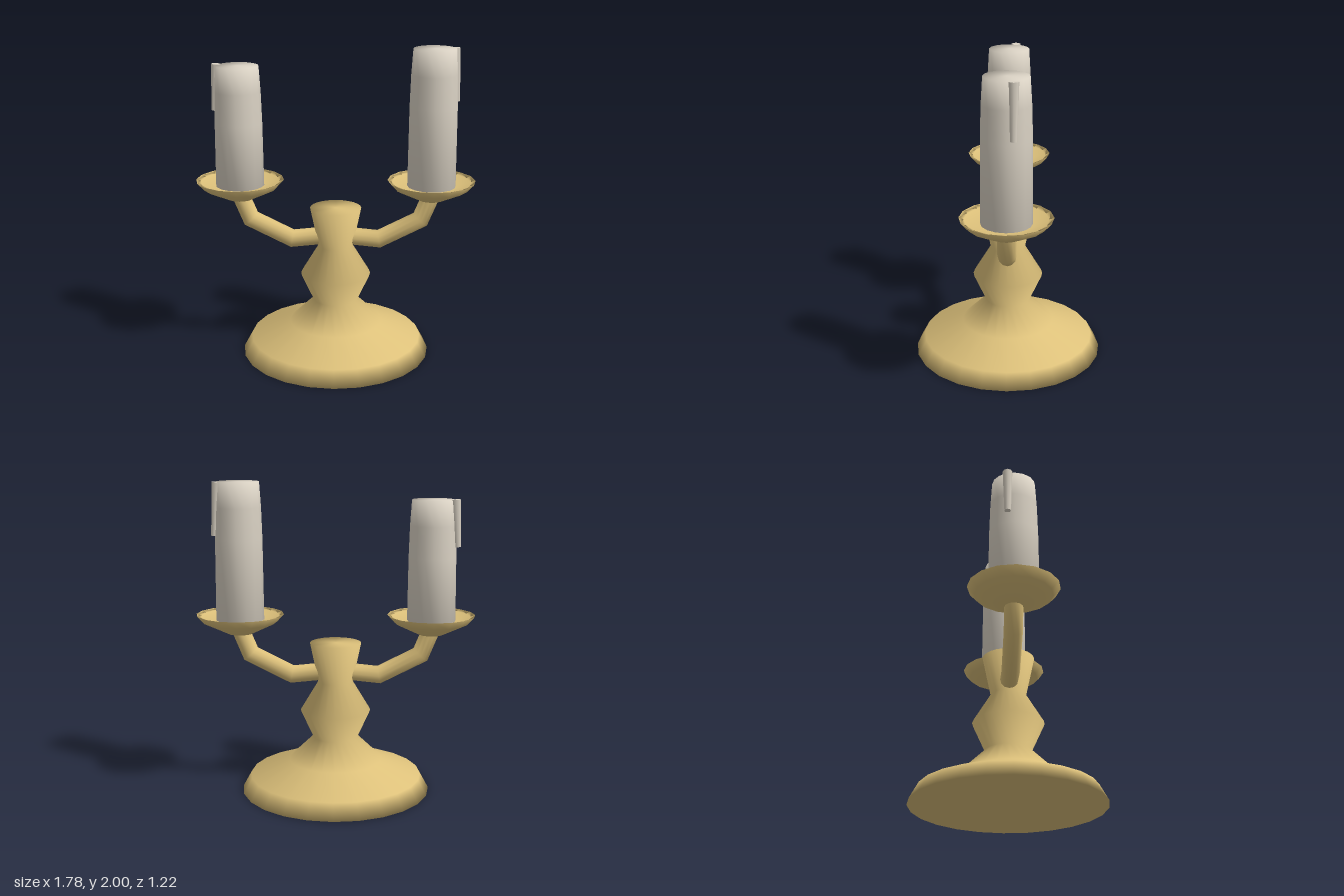
import * as THREE from 'three';

const brass = new THREE.MeshStandardMaterial({ color: 0xdcc07a });
brass.name = 'brass';
const wax = new THREE.MeshStandardMaterial({ color: 0xd9d1c3 });
wax.name = 'wax';

function part(name, geometry, material) {
  const mesh = new THREE.Mesh(geometry, material);
  mesh.name = name;
  return mesh;
}

// Turned solid from [radius, height] pairs, listed bottom to top
function turned(name, profile, sides, material) {
  const points = profile.map(([r, y]) => new THREE.Vector2(r, y));
  return part(name, new THREE.LatheGeometry(points, sides), material);
}

// Round rod following a bent path in the xy plane, with mitred joints
function bentRod(path, radius, sides) {
  const pts = path.map(([x, y]) => new THREE.Vector2(x, y));
  const positions = [];
  const indices = [];
  pts.forEach((p, i) => {
    const before = p.clone().sub(pts[Math.max(i - 1, 0)]).normalize();
    const after = pts[Math.min(i + 1, pts.length - 1)].clone().sub(p).normalize();
    const t = before.clone().add(after).normalize();
    const reach = radius / t.dot(i ? before : after);
    for (let j = 0; j < sides; j++) {
      const a = (j / sides) * Math.PI * 2;
      const n = Math.cos(a) * reach;
      positions.push(p.x - t.y * n, p.y + t.x * n, Math.sin(a) * radius);
      if (i < pts.length - 1) {
        const k = (j + 1) % sides;
        const r0 = i * sides, r1 = r0 + sides;
        indices.push(r0 + j, r0 + k, r1 + j, r0 + k, r1 + k, r1 + j);
      }
    }
  });
  const geometry = new THREE.BufferGeometry();
  geometry.setAttribute('position', new THREE.Float32BufferAttribute(positions, 3));
  geometry.setIndex(indices);
  geometry.computeVertexNormals();
  return geometry;
}

// Wax run: a tapered rod between two points, wider at the top
function waxDrip(top, bottom) {
  const a = new THREE.Vector3(...top);
  const b = new THREE.Vector3(...bottom);
  const axis = a.clone().sub(b);
  const mesh = part('waxDrip', new THREE.CylinderGeometry(0.03, 0.02, axis.length(), 8), wax);
  mesh.position.copy(a).add(b).multiplyScalar(0.5);
  mesh.quaternion.setFromUnitVectors(new THREE.Vector3(0, 1, 0), axis.normalize());
  return mesh;
}

export function createModel() {
  const model = new THREE.Group();
  model.name = 'candelabra';

  // Foot and stem in one turned piece
  model.add(turned('baseAndStem', [
    [0, 0], [0.61, 0], [0.555, 0.1], [0.3, 0.2], [0.145, 0.35],
    [0.226, 0.53], [0.112, 0.72], [0.165, 0.975], [0, 0.975],
  ], 24, brass));

  for (const side of [1, -1]) {
    // Arm and drip pan, turned round for the other side
    const branch = new THREE.Group();
    branch.name = side > 0 ? 'leftBranch' : 'rightBranch';
    branch.add(part('arm', bentRod([[0.04, 0.79], [0.28, 0.765], [0.545, 0.9], [0.61, 1.06]], 0.057, 12), brass));
    const pan = turned('dripPan', [
      [0, 1.035], [0.08, 1.035], [0.235, 1.11], [0.28, 1.16], [0.25, 1.15], [0.16, 1.125], [0, 1.125],
    ], 16, brass);
    pan.position.x = 0.61;
    branch.add(pan);
    if (side < 0) branch.rotation.y = Math.PI;
    model.add(branch);

    // Candle, taller on the model's left
    const top = side > 0 ? 2 : 1.89;
    const candle = turned('candle', [
      [0, 1.12], [0.154, 1.12], [0.15, top - 0.36], [0.144, top - 0.16], [0.134, top], [0, top],
    ], 16, wax);
    candle.position.x = 0.61 * side;
    model.add(candle);
  }

  // Wax runs on the outer sides
  model.add(waxDrip([0.737, 1.998, -0.042], [0.757, 1.665, -0.042]));
  model.add(waxDrip([-0.745, 1.893, -0.045], [-0.763, 1.6, -0.045]));

  return model;
}
